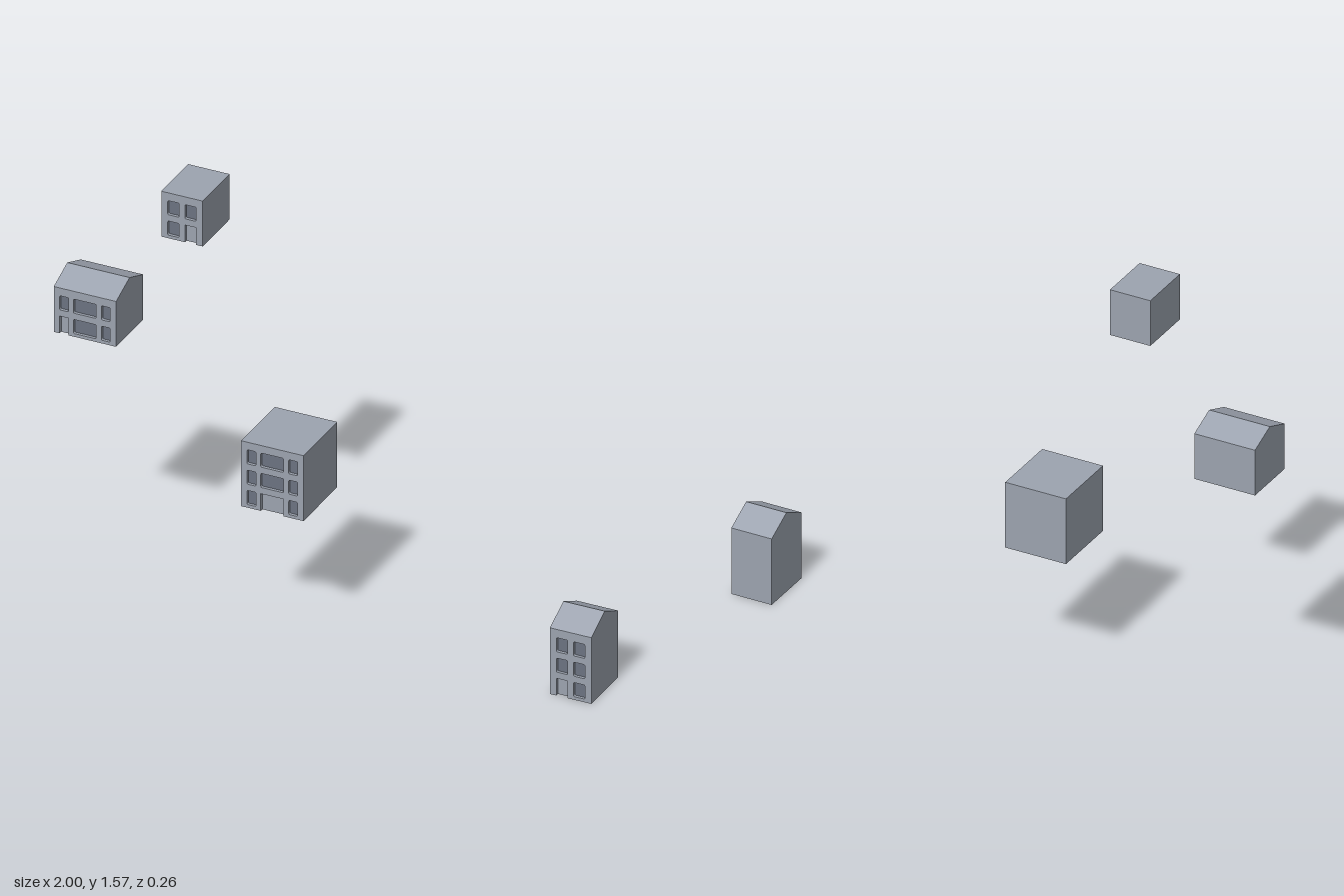
import * as THREE from 'three';

const RECESS = 0.012; // depth of windows and doors
const BACK = -0.128;
const FLOOR = 0.078; // storey height
const SILL = 0.012, HEAD = 0.066;
const wallMaterial = new THREE.MeshStandardMaterial({ color: 0x9ca3af });
const paneMaterial = new THREE.MeshStandardMaterial({ color: 0x6b7280 });

// Column spans measured from the left edge of the facade
const NARROW = [[0.024, 0.066], [0.088, 0.13]];
const WIDE = [[0.022, 0.055], [0.073, 0.158], [0.177, 0.21]];

const HOUSES = [
  { name: 'smallFlatHouse', x: -0.6, y: 1.397, w: 0.154, front: 0.077, eave: 0.174, floors: 2, cols: NARROW, door: 1 },
  { name: 'wideGabledHouse', x: -1, y: 0.932, w: 0.232, front: 0.077, eave: 0.174, ridge: 0.214, floors: 2, cols: WIDE, door: 0 },
  { name: 'largeFlatHouse', x: -0.278, y: 0.468, w: 0.232, front: 0.128, eave: 0.251, floors: 3, cols: WIDE, door: 1 },
  { name: 'tallGabledHouse', x: 0.846, y: 0, w: 0.154, front: 0.077, eave: 0.254, ridge: 0.304, floors: 3, cols: NARROW, door: 0 },
];

function polygon(points) {
  return new THREE.Shape(points.map(([a, b]) => new THREE.Vector2(a, b)));
}

// Window outline with slightly rounded corners
function windowOutline(x0, x1, y0, y1, r = 0.005) {
  const p = new THREE.Shape();
  p.moveTo(x0 + r, y0);
  p.lineTo(x1 - r, y0);
  p.quadraticCurveTo(x1, y0, x1, y0 + r);
  p.lineTo(x1, y1 - r);
  p.quadraticCurveTo(x1, y1, x1 - r, y1);
  p.lineTo(x0 + r, y1);
  p.quadraticCurveTo(x0, y1, x0, y1 - r);
  p.lineTo(x0, y0 + r);
  p.quadraticCurveTo(x0, y0, x0 + r, y0);
  return p;
}

function addMesh(group, name, geometry, material) {
  const mesh = new THREE.Mesh(geometry, material);
  mesh.name = name;
  group.add(mesh);
}

function buildHouse({ name, x, y, w, front, eave, ridge, floors, cols, door }) {
  const house = new THREE.Group();
  house.name = name;
  house.position.set(x, y, 0);

  // Body and roof: side profile (z, y) swept across the width
  const inner = front - RECESS;
  const profile = [[inner, 0], [inner, eave]];
  if (ridge) profile.push([front, eave], [(front + BACK) / 2, ridge]);
  profile.push([BACK, eave], [BACK, 0]);
  const body = new THREE.ExtrudeGeometry(polygon(profile), { depth: w, bevelEnabled: false });
  body.rotateY(-Math.PI / 2).translate(w, 0, 0);
  addMesh(house, 'bodyAndRoof', body, wallMaterial);

  // Front wall: the door is a notch open at the ground, windows are holes
  const [d0, d1] = cols[door];
  const wall = polygon([[0, 0], [d0, 0], [d0, HEAD], [d1, HEAD], [d1, 0], [w, 0], [w, eave], [0, eave]]);
  for (let f = 0; f < floors; f++) {
    cols.forEach(([a, b], c) => {
      if (f === 0 && c === door) return;
      wall.holes.push(windowOutline(a, b, f * FLOOR + SILL, f * FLOOR + HEAD));
    });
  }
  const facade = new THREE.ExtrudeGeometry(wall, { depth: RECESS, bevelEnabled: false, curveSegments: 3 });
  facade.translate(0, 0, inner);
  addMesh(house, 'frontWall', facade, wallMaterial);

  // Dark panes at the back of the window recesses
  const panes = new THREE.ShapeGeometry(wall.holes, 3);
  panes.translate(0, 0, inner + 0.001);
  addMesh(house, 'windowPanes', panes, paneMaterial);
  return house;
}

export function createModel() {
  const group = new THREE.Group();
  group.name = 'houses';
  HOUSES.forEach((h) => group.add(buildHouse(h)));
  return group;
}
